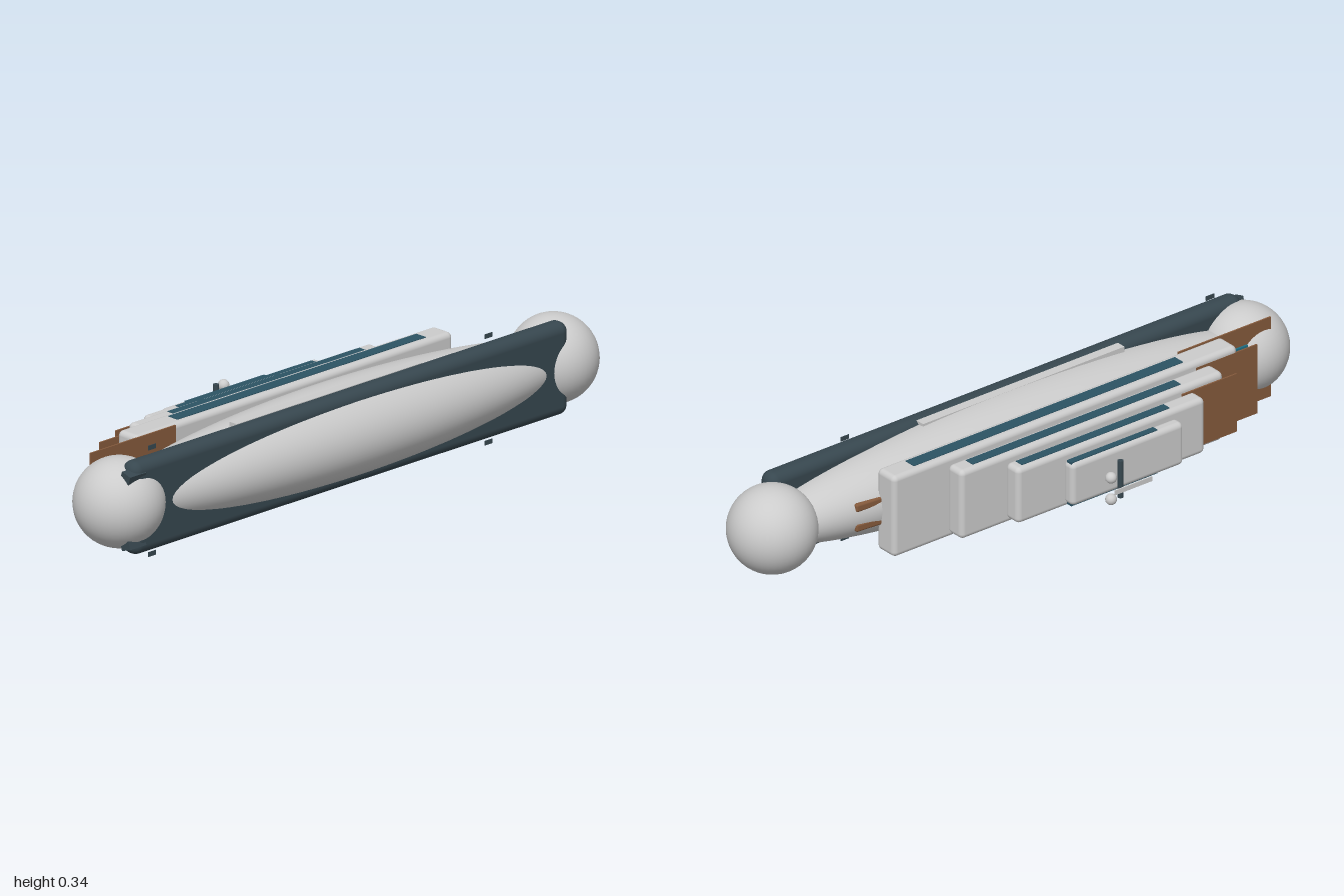
import * as THREE from 'three';
import { RoundedBoxGeometry } from 'three/addons/geometries/RoundedBoxGeometry.js';

// A yacht resting on its side: bow towards +x, decks stacked towards -z, beam along y.
export function createModel() {
  const model = new THREE.Group();
  model.name = 'yacht';
  model.position.y = 0.172;       // centreline height
  model.rotation.y = 0.0045;      // slight trim

  const mat = (color) => new THREE.MeshStandardMaterial({ color });
  const grey = mat(0xcccccc), dark = mat(0x37474f), glass = mat(0x2c5364);
  const wood = mat(0x855a3c), water = mat(0x1f6f85);

  const add = (name, geometry, material, x, y, z) => {
    const mesh = new THREE.Mesh(geometry, material);
    mesh.name = name;
    mesh.position.set(x, y, z);
    model.add(mesh);
    return mesh;
  };
  // Box given by its x range, half beam and z range, optionally rounded
  const slab = (name, material, x0, x1, half, z0, z1, radius = 0) => {
    const size = [x1 - x0, half * 2, z1 - z0];
    const geometry = radius
      ? new RoundedBoxGeometry(...size, 5, radius)
      : new THREE.BoxGeometry(...size);
    return add(name, geometry, material, (x0 + x1) / 2, 0, (z0 + z1) / 2);
  };

  // Hull, with a ball at bow and stern
  add('hull', new THREE.SphereGeometry(1, 64, 40), grey, 0, 0, 0.149).scale.set(0.925, 0.139, 0.158);
  add('bowBall', new THREE.SphereGeometry(0.133, 40, 28), grey, 0.867, 0, 0.145);
  add('sternBall', new THREE.SphereGeometry(0.134, 40, 28), grey, -0.866, 0, 0.146);

  // Dark belt around the hull and its side panel
  slab('belt', dark, -0.895, 0.843, 0.141, 0.175, 0.242, 0.03);
  slab('sidePanel', grey, -0.44, 0.3, 0.139, 0.16, 0.19);

  // Stacked decks, each with a window band: [x0, x1, half beam, z0, z1, window x0, window x1]
  const decks = [
    [-0.705, 0.56, 0.131, -0.029, 0.051, -0.52, 0.47],
    [-0.6, 0.365, 0.111, -0.095, -0.029, -0.455, 0.31],
    [-0.485, 0.205, 0.09, -0.154, -0.095, -0.365, 0.178],
    [-0.37, 0.042, 0.069, -0.2, -0.157, -0.28, 0.037],
  ];
  decks.forEach(([x0, x1, half, z0, z1, w0, w1], i) => {
    slab(`deck${i + 1}`, grey, x0, x1, half, z0, z1, 0.016);
    const mid = (z0 + z1) / 2, h = (z1 - z0) * 0.24;
    slab(`windowBand${i + 1}`, glass, w0, w1, half + 0.002, mid - h, mid + h);
  });

  // Wooden terraces at the stern and the pool
  slab('sternTerrace', wood, -0.89, -0.55, 0.129, 0.05, 0.055);
  slab('middleTerrace', wood, -0.775, -0.55, 0.112, -0.03, -0.025);
  slab('upperTerrace', wood, -0.64, -0.44, 0.094, -0.104, -0.099);
  slab('pool', water, -0.8, -0.7, 0.07, 0.044, 0.052);

  for (const side of [-1, 1]) {
    // Sunbeds on the foredeck
    add('foredeckSunbed', new RoundedBoxGeometry(0.1, 0.026, 0.018, 3, 0.007), wood, 0.595, side * 0.032, 0.04)
      .rotation.y = -0.08;
    // Stern fittings
    add('sternFitting', new THREE.BoxGeometry(0.065, 0.026, 0.035), dark, -0.885, side * 0.103, 0.224)
      .rotation.x = side * 0.3;
    // Small plates beside the hull
    for (const x of [-0.79, 0.552]) {
      add('sidePlate', new THREE.BoxGeometry(0.03, 0.014, 0.002), dark, x, side * 0.162, 0.204);
    }
    // Radar domes
    add('radarDome', new THREE.SphereGeometry(0.017, 24, 16), grey, -0.037, side * 0.035, -0.278);
  }

  // Mast crossbar and radar bar
  add('mastCrossbar', new THREE.CylinderGeometry(0.009, 0.009, 0.119, 16), dark, -0.095, 0, -0.249);
  slab('radarBar', grey, -0.165, -0.03, 0.0075, -0.307, -0.303);

  const root = new THREE.Group();
  root.add(model);
  return root;
}
